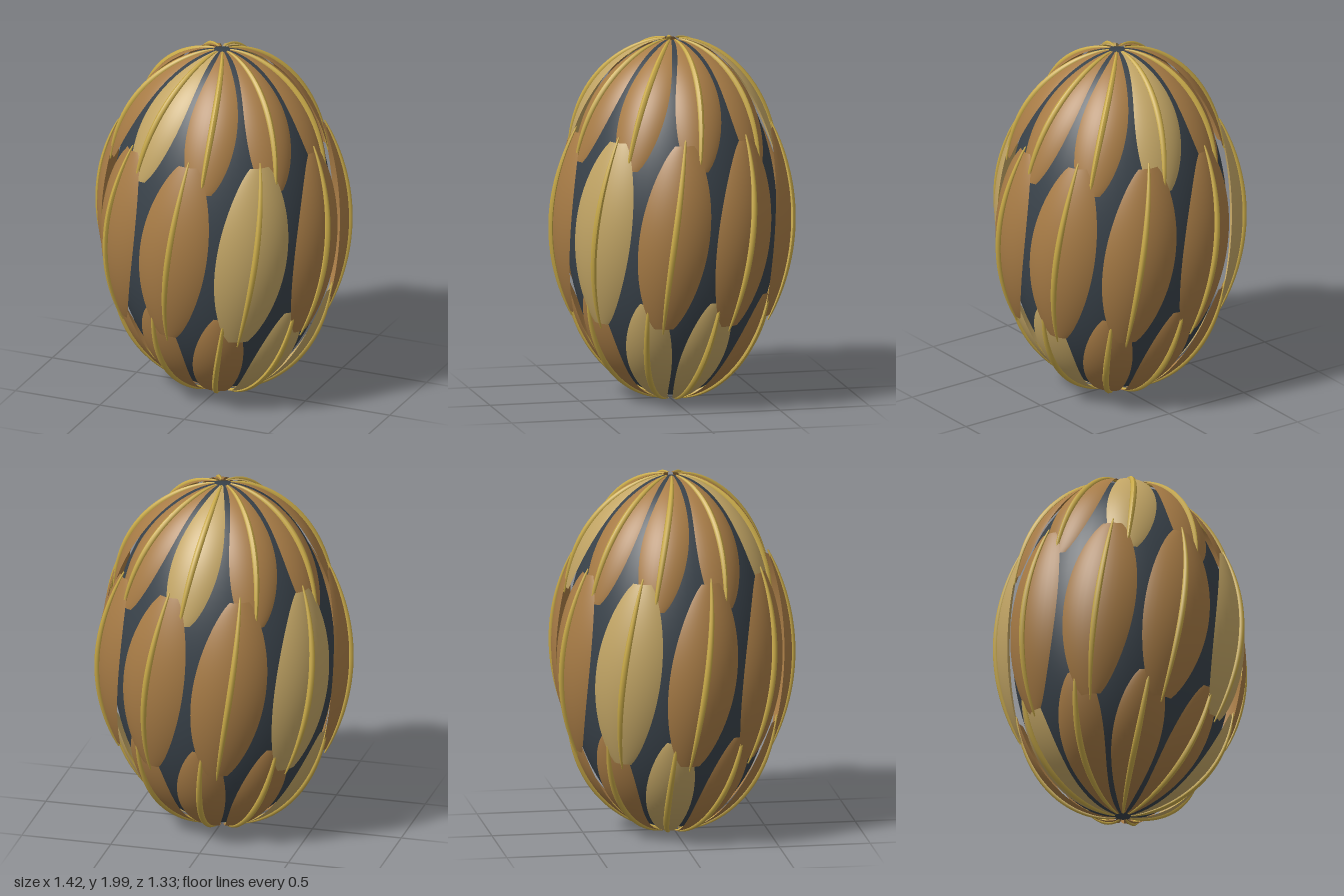
import * as THREE from 'three';
import { ParametricGeometry } from 'three/addons/geometries/ParametricGeometry.js';

const COUNT = 9;            // petals per ring
const DEPTH = 0.945;        // the egg is slightly flattened in z
const TWIST = 6.5;          // degrees of lean either side of the petal centre
const HALF_WIDTH = 17.8;    // degrees
const rad = THREE.MathUtils.degToRad;

const mat = (name, color, side = THREE.FrontSide) => {
  const m = new THREE.MeshStandardMaterial({ color, side });
  m.name = name;
  return m;
};

// Rings: polar range in degrees, first azimuth, girth at the tips, extra girth
// in the middle, which petals are pale, and which end meets a pole
const RINGS = [
  { name: 'upper', from: 4, to: 70.7, start: 32.7, girth: 0.645, bulge: 0.035, pale: 2, pole: 0 },
  { name: 'middle', from: 57.3, to: 122.7, start: 12.7, girth: 0.675, bulge: 0.022, pale: 1, pole: -1 },
  { name: 'lower', from: 109.8, to: 176, start: 32.7, girth: 0.645, bulge: 0.035, pale: 0, pole: 1 },
];

// Point on a petal: s runs down its length, u across it (-1 to 1)
function petalPoint(ring, azimuth, s, u, lift, target) {
  const hump = Math.sin(Math.PI * s);
  let width = Math.sqrt(Math.max(hump, 0));
  const poleHalf = ring.pole === 0 ? s < 0.5 : ring.pole === 1 && s > 0.5;
  if (poleHalf) width = 0.7 + 0.3 * hump;
  const phi = rad(ring.from + (ring.to - ring.from) * s);
  const t = rad(azimuth + TWIST * (2 * s - 1) + HALF_WIDTH * width * u);
  const girth = ring.girth + ring.bulge * hump - 0.035 * width * u * u + lift;
  return target.set(
    girth * Math.sin(phi) * Math.cos(t),
    1 + 0.994 * Math.cos(phi),
    DEPTH * girth * Math.sin(phi) * Math.sin(t)
  );
}

function petalGeometry(ring, azimuth) {
  const s0 = ring.pole === 0 ? 0 : 0.03;
  const s1 = ring.pole === 1 ? 1 : 0.97;
  return new ParametricGeometry(
    (a, b, target) => petalPoint(ring, azimuth, s0 + (s1 - s0) * b, 2 * a - 1, 0, target), 12, 32);
}

// Tube along the petal's centre line, narrowed towards both ends
function ribGeometry(ring, azimuth) {
  const points = [];
  for (let i = 0; i <= 16; i++) {
    points.push(petalPoint(ring, azimuth, i / 16, 0, 0.004, new THREE.Vector3()));
  }
  const curve = new THREE.CatmullRomCurve3(points);
  const segments = 36, sides = 8;
  const geometry = new THREE.TubeGeometry(curve, segments, 0.018, sides);
  const pos = geometry.attributes.position;
  const p = new THREE.Vector3();
  for (let i = 0; i <= segments; i++) {
    const centre = curve.getPointAt(i / segments);
    const taper = 0.2 + 0.8 * Math.pow(Math.max(Math.sin(Math.PI * i / segments), 0), 0.7);
    for (let j = 0; j <= sides; j++) {
      const k = i * (sides + 1) + j;
      p.fromBufferAttribute(pos, k).sub(centre).multiplyScalar(taper).add(centre);
      pos.setXYZ(k, p.x, p.y, p.z);
    }
  }
  geometry.computeVertexNormals();
  return geometry;
}

export function createModel() {
  const model = new THREE.Group();
  model.name = 'petalledEgg';
  const slate = mat('slate', 0x3a434b);
  const bronze = mat('bronze', 0xa87c46, THREE.DoubleSide);
  const paleBronze = mat('paleBronze', 0xc2a565, THREE.DoubleSide);
  const gold = mat('gold', 0xc9aa48);

  // Dark egg inside the shell
  const core = new THREE.Mesh(new THREE.SphereGeometry(1, 64, 48), slate);
  core.name = 'core';
  core.scale.set(0.61, 0.975, 0.573);
  core.position.y = 1;
  model.add(core);

  // Three staggered rings of leaning petals, each with a raised rib
  for (const ring of RINGS) {
    const group = new THREE.Group();
    group.name = ring.name + 'Ring';
    for (let i = 0; i < COUNT; i++) {
      const azimuth = ring.start + i * 360 / COUNT;
      const petal = new THREE.Mesh(petalGeometry(ring, azimuth), i % 4 === ring.pale ? paleBronze : bronze);
      petal.name = ring.name + 'Petal';
      const rib = new THREE.Mesh(ribGeometry(ring, azimuth), gold);
      rib.name = ring.name + 'Rib';
      group.add(petal, rib);
    }
    model.add(group);
  }

  // The odd petal count puts the middle of the depth slightly off the axis
  for (const part of model.children) part.position.z = -0.014;
  return model;
}
